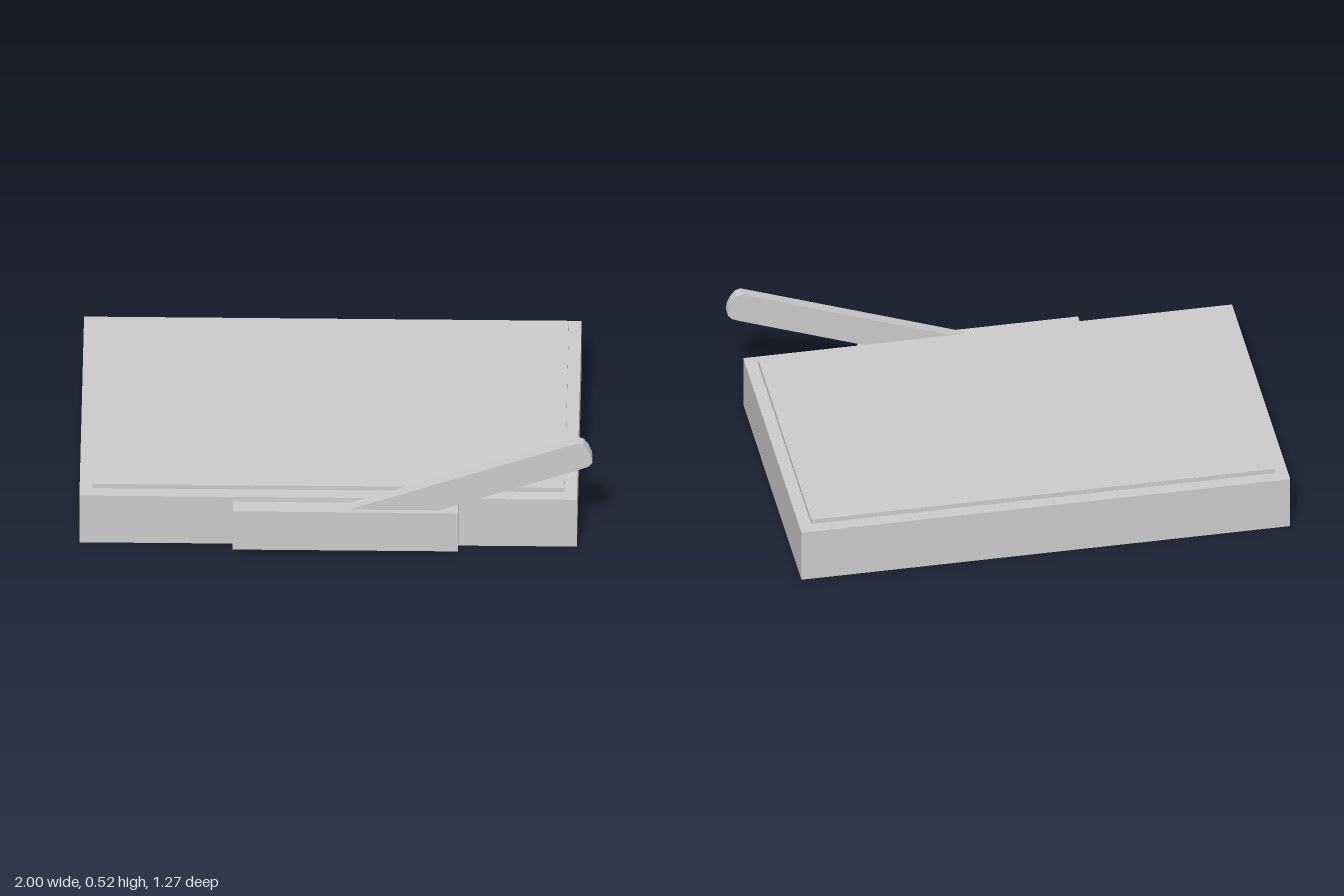
import * as THREE from 'three';

export function createModel() {
  const group = new THREE.Group();
  const material = new THREE.MeshStandardMaterial({ color: 0xcccccc, flatShading: true });

  const add = (name, geometry) => {
    const mesh = new THREE.Mesh(geometry, material);
    mesh.name = name;
    group.add(mesh);
    return mesh;
  };

  // Box given by its lower and upper limits on each axis
  const addBox = (name, [x0, x1], [y0, y1], [z0, z1]) =>
    add(name, new THREE.BoxGeometry(x1 - x0, y1 - y0, z1 - z0))
      .position.set((x0 + x1) / 2, (y0 + y1) / 2, (z0 + z1) / 2);

  // Slab body with a thin raised plate on top
  addBox('base', [-1, 0.937], [0, 0.223], [-0.635, 0.57]);
  addBox('topPlate', [-0.95, 0.888], [0.223, 0.243], [-0.583, 0.519]);

  // Housing on the front face that holds the lever
  addBox('leverHousing', [-0.402, 0.475], [0.018, 0.2], [0.57, 0.635]);

  // Flat lever rising out of the housing, with a faceted rounded tip
  const outline = [
    [-0.115, 0.14], [0.235, 0.14], [0.95, 0.4], [0.982, 0.414], [0.998, 0.432],
    [0.995, 0.46], [0.982, 0.491], [0.963, 0.517], [0.94, 0.524],
  ].map(([x, y]) => new THREE.Vector2(x, y));
  add('lever', new THREE.ExtrudeGeometry(new THREE.Shape(outline), { depth: 0.045, bevelEnabled: false }))
    .position.z = 0.571;

  return group;
}
